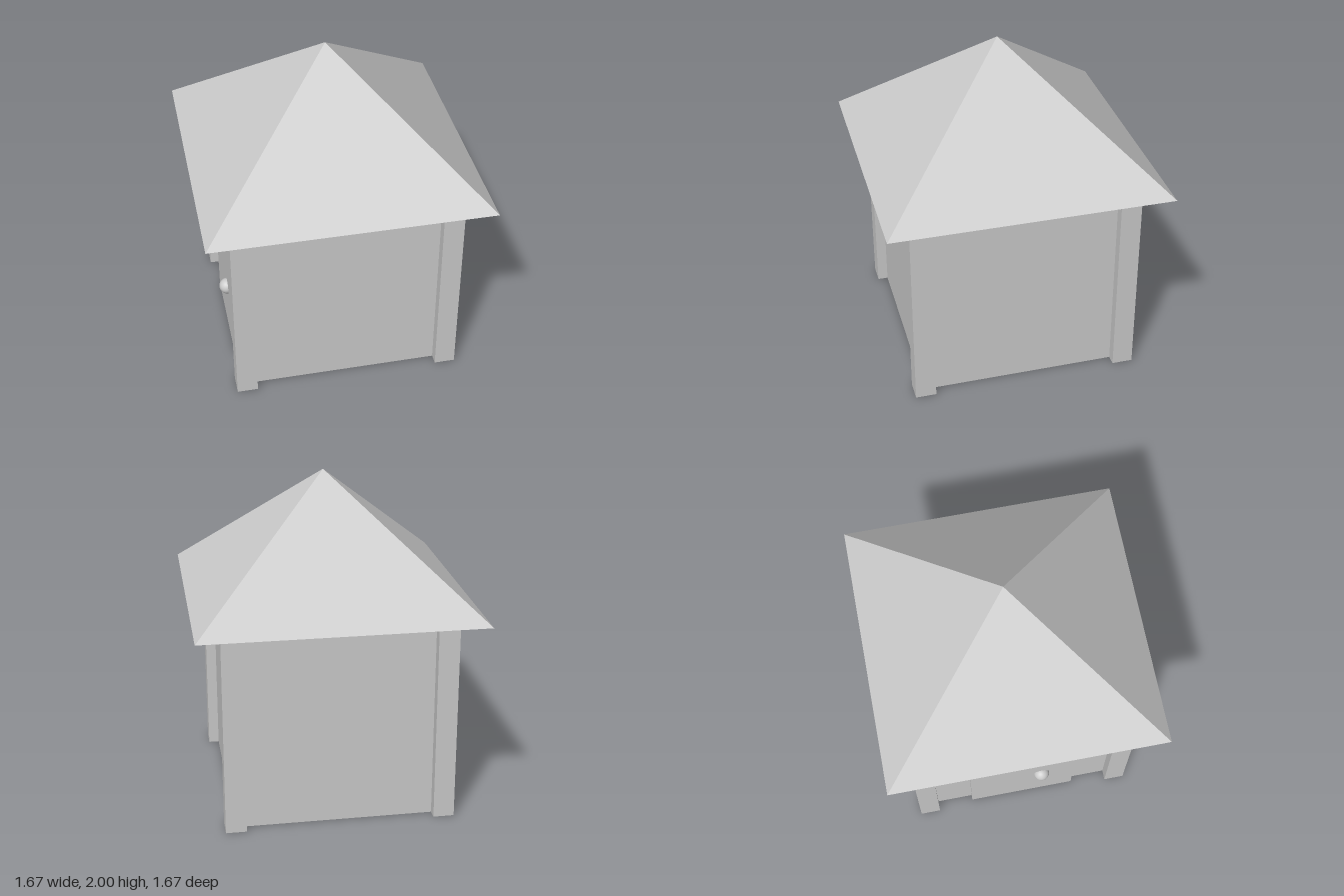
import * as THREE from 'three';

export function createModel() {
  const group = new THREE.Group();
  const flat = new THREE.MeshStandardMaterial({ color: 0xcccccc, flatShading: true });
  const smooth = new THREE.MeshStandardMaterial({ color: 0xcccccc });

  const add = (name, geometry, material, x, y, z) => {
    const mesh = new THREE.Mesh(geometry, material);
    mesh.name = name;
    mesh.position.set(x, y, z);
    group.add(mesh);
    return mesh;
  };

  const floorY = 0.005, eaveY = 1.255, half = 0.625;
  const wallHeight = eaveY - floorY, midY = (eaveY + floorY) / 2;

  // Walls
  add('walls', new THREE.BoxGeometry(half * 2, wallHeight, half * 2), flat, 0, midY, 0);

  // Square posts centred on the corners
  for (const sx of [-1, 1]) {
    for (const sz of [-1, 1]) {
      add('cornerPost', new THREE.BoxGeometry(0.125, wallHeight, 0.125), flat, sx * half, midY, sz * half);
    }
  }

  // Pyramid roof with overhanging eaves
  const roofHeight = 2 - eaveY;
  const roof = new THREE.ConeGeometry(0.837 * Math.SQRT2, roofHeight, 4);
  roof.rotateY(Math.PI / 4);
  add('roof', roof, flat, 0, eaveY + roofHeight / 2, 0);

  // Door on the right wall, upper corners rounded
  const w = 0.337, h = 0.765, r = 0.03, depth = 0.06;
  const outline = new THREE.Shape();
  outline.moveTo(-w, 0);
  outline.lineTo(w, 0);
  outline.lineTo(w, h - r);
  outline.absarc(w - r, h - r, r, 0, Math.PI / 2);
  outline.lineTo(-w + r, h);
  outline.absarc(-w + r, h - r, r, Math.PI / 2, Math.PI);
  outline.closePath();
  const door = new THREE.ExtrudeGeometry(outline, { depth, bevelEnabled: false, curveSegments: 6 });
  door.translate(0, 0, -depth / 2);
  door.rotateY(-Math.PI / 2);
  add('door', door, flat, -half, 0, 0);

  // Round door knob, half sunk into the door
  add('doorKnob', new THREE.SphereGeometry(0.05, 32, 20), smooth, -half - depth / 2, 0.38, 0.125);

  return group;
}
